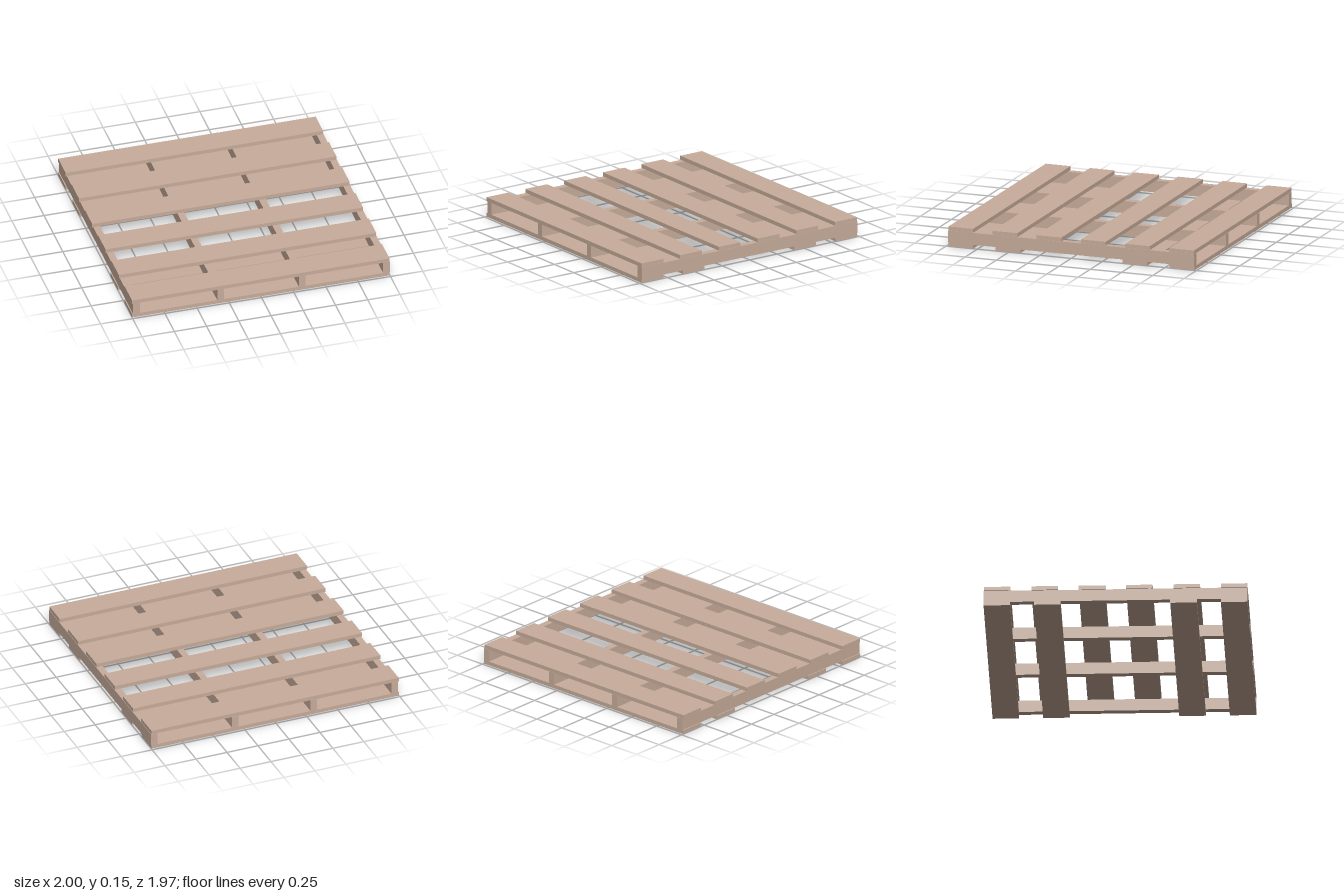
import * as THREE from 'three';

export function createModel() {
  const group = new THREE.Group();
  const wood = new THREE.MeshStandardMaterial({ color: 0xc8ad9b });

  // Box given by its lower and upper limits on each axis
  const board = (name, [x0, x1], [y0, y1], [z0, z1]) => {
    const mesh = new THREE.Mesh(new THREE.BoxGeometry(x1 - x0, y1 - y0, z1 - z0), wood);
    mesh.position.set((x0 + x1) / 2, (y0 + y1) / 2, (z0 + z1) / 2);
    mesh.name = name;
    group.add(mesh);
  };

  const boardSpan = [-1, 0.997];
  const half = 0.099; // half the width of a deck board

  // Four stringers running front to back
  [-0.966, -0.313, 0.32, 0.974].forEach((x, i) =>
    board(`stringer${i + 1}`, [x - 0.026, x + 0.026], [0.03, 0.122], [-0.983, 0.983]));

  // Six evenly spaced top deck boards
  for (let i = 0; i < 6; i++) {
    const z = 0.884 - 0.353 * i;
    board(`topBoard${i + 1}`, boardSpan, [0.122, 0.152], [z - half, z + half]);
  }

  // Four bottom boards, paired towards the front and the back
  [0.884, 0.507, -0.507, -0.884].forEach((z, i) =>
    board(`bottomBoard${i + 1}`, boardSpan, [0, 0.03], [z - half, z + half]));

  return group;
}
